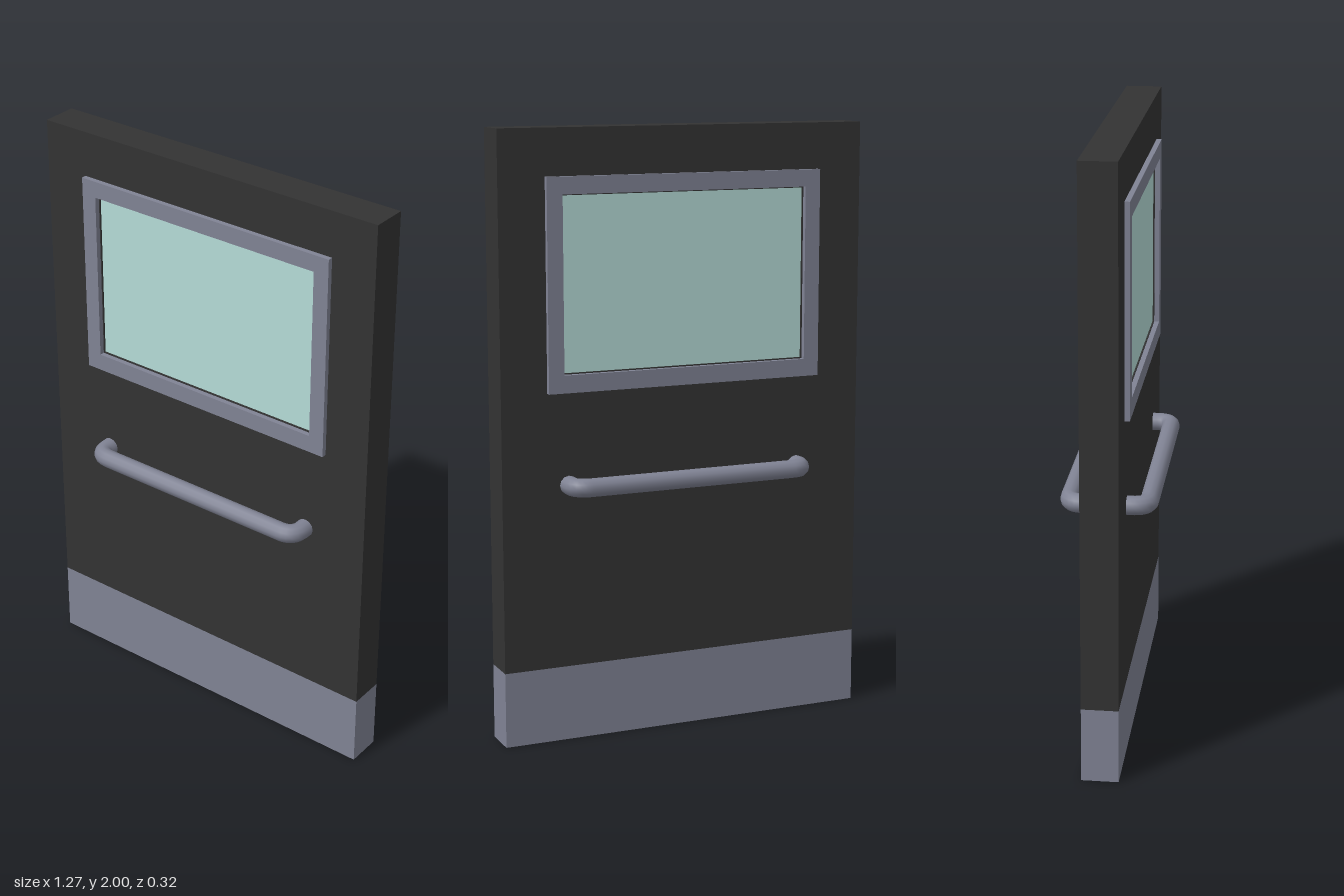
import * as THREE from 'three';

const doorMat = new THREE.MeshStandardMaterial({ color: 0x333333 });
doorMat.name = 'dark door paint';
const metalMat = new THREE.MeshStandardMaterial({ color: 0x808394 });
metalMat.name = 'grey metal';
const glassMat = new THREE.MeshStandardMaterial({ color: 0xb5dcd7 });
glassMat.name = 'pale green glass';

// Rectangular slab with a rectangular opening; bounds are [x half width, bottom, top]
function openSlab([w, y0, y1], [hw, h0, h1], z0, z1) {
  const rect = (C, a, b, c) => new C([
    new THREE.Vector2(-a, b), new THREE.Vector2(a, b),
    new THREE.Vector2(a, c), new THREE.Vector2(-a, c),
  ]);
  const shape = rect(THREE.Shape, w, y0, y1);
  shape.holes.push(rect(THREE.Path, hw, h0, h1));
  return new THREE.ExtrudeGeometry(shape, { depth: z1 - z0, bevelEnabled: false }).translate(0, 0, z0);
}

// Pull bar path: two legs joined to a straight bar by rounded corners
function handlePath() {
  const x = 0.409, z = 0.127, bend = 0.05;
  const v = (a, c) => new THREE.Vector3(a, 0, c);
  const path = new THREE.CurvePath();
  path.add(new THREE.LineCurve3(v(-x, 0.05), v(-x, z - bend)));
  path.add(new THREE.QuadraticBezierCurve3(v(-x, z - bend), v(-x, z), v(-x + bend, z)));
  path.add(new THREE.LineCurve3(v(-x + bend, z), v(x - bend, z)));
  path.add(new THREE.QuadraticBezierCurve3(v(x - bend, z), v(x, z), v(x, z - bend)));
  path.add(new THREE.LineCurve3(v(x, z - bend), v(x, 0.05)));
  return path;
}

export function createModel() {
  const model = new THREE.Group();
  model.name = 'door';
  const add = (parent, name, geometry, material) => {
    const mesh = new THREE.Mesh(geometry, material);
    mesh.name = name;
    parent.add(mesh);
    return mesh;
  };

  // Door leaf with window opening, and the kick plate wrapping its foot
  const opening = [0.423, 1.222, 1.788];
  add(model, 'doorPanel', openSlab([0.636, 0.25, 2], opening, -0.06, 0.06), doorMat);
  add(model, 'kickPlate', new THREE.BoxGeometry(1.272, 0.25, 0.12).translate(0, 0.125, 0), metalMat);

  // Window pane, just behind both door faces
  add(model, 'windowGlass', new THREE.BoxGeometry(0.846, 0.566, 0.11).translate(0, 1.505, 0), glassMat);

  // Matching window frame and pull handle on each side
  const frame = openSlab([0.48, 1.16, 1.848], [0.427, 1.218, 1.792], 0.06, 0.077);
  const handle = new THREE.TubeGeometry(handlePath(), 80, 0.031, 12, false);
  for (const [side, turn] of [['front', 0], ['back', Math.PI]]) {
    const fittings = new THREE.Group();
    fittings.name = side + 'Fittings';
    fittings.rotation.y = turn;
    add(fittings, side + 'WindowFrame', frame, metalMat);
    add(fittings, side + 'Handle', handle, metalMat).position.y = 0.857;
    model.add(fittings);
  }
  return model;
}
